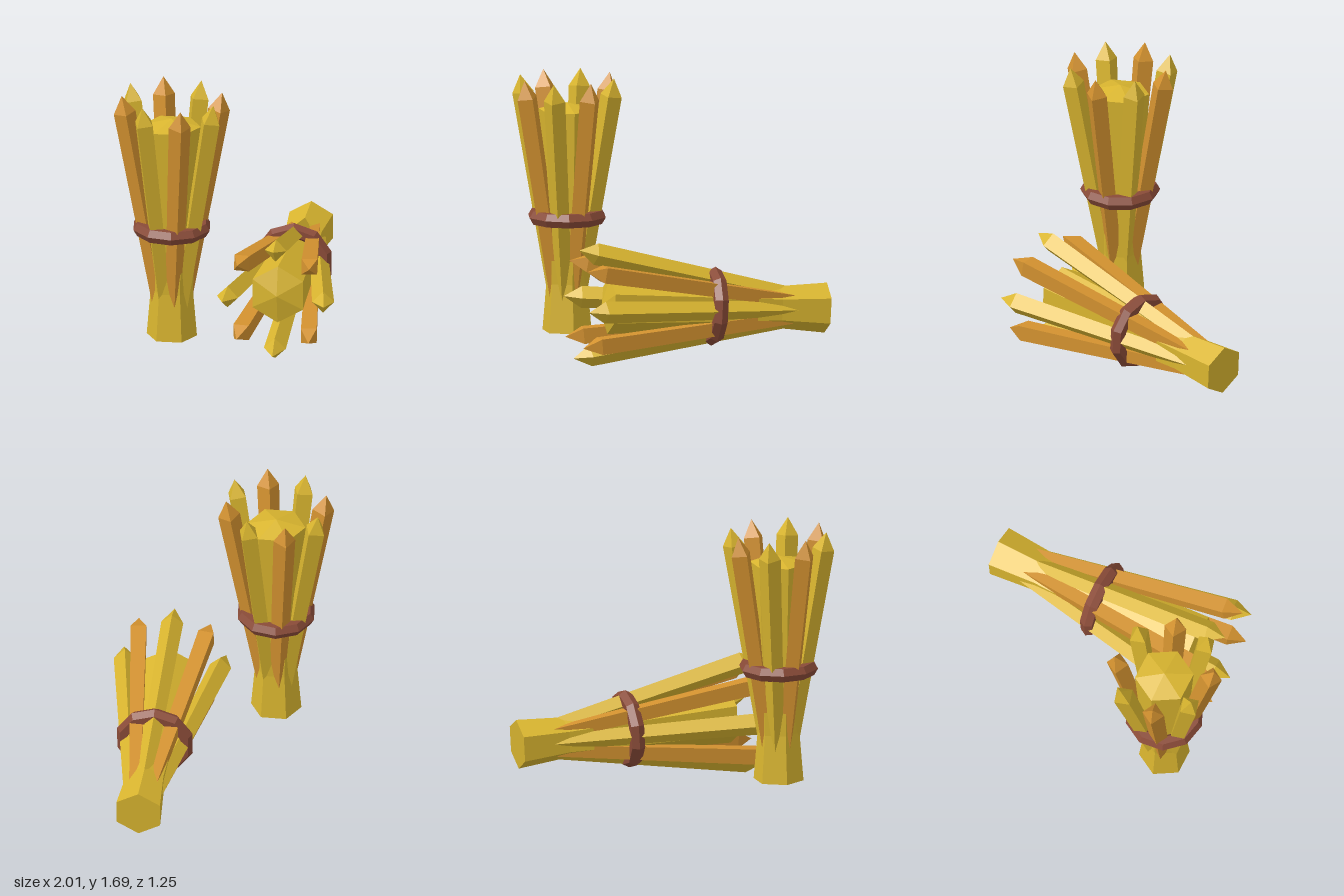
import * as THREE from 'three';

const flat = (name, color) => {
  const m = new THREE.MeshStandardMaterial({ color, flatShading: true });
  m.name = name;
  return m;
};

// Low-poly turned shape with a corner on the +x axis
const turned = (points, sides) => new THREE.LatheGeometry(
  points.map(([r, y]) => new THREE.Vector2(r, y)), sides, Math.PI / 2);

// One bundle standing on its local origin; spreadX and spreadZ are the radii of the ring of stalk tips
function createSheaf(name, mats, spreadX, spreadZ) {
  const sheaf = new THREE.Group();
  sheaf.name = name;

  const add = (part, geometry, material) => {
    const mesh = new THREE.Mesh(geometry, material);
    mesh.name = part;
    sheaf.add(mesh);
    return mesh;
  };

  // Six-sided core: flared foot, waist, wide top with a shallow point
  add('core', turned([[0, 0], [0.155, 0], [0.13, 0.3], [0.18, 1.37], [0, 1.415]], 6), mats.straw);

  // Eight leaning square stalks, alternating in colour
  const up = new THREE.Vector3(0, 1, 0);
  for (let i = 0; i < 8; i++) {
    const a = i * Math.PI / 4;
    const foot = new THREE.Vector3(0.065 * Math.cos(a), 0.18, 0.065 * Math.sin(a));
    const tip = new THREE.Vector3(spreadX * Math.cos(a), 1.575, spreadZ * Math.sin(a));
    const dir = tip.clone().sub(foot);
    const length = dir.length();
    const stalk = add(i % 2 ? 'darkStalk' : 'lightStalk',
      turned([[0, 0], [0.05, 0], [0.068, length - 0.11], [0, length]], 4),
      i % 2 ? mats.ripe : mats.straw);
    stalk.position.copy(foot);
    stalk.quaternion.setFromUnitVectors(up, dir.normalize())
      .multiply(new THREE.Quaternion().setFromAxisAngle(up, -a));
  }

  // Binding ring
  const ring = add('binding', new THREE.TorusGeometry(0.197, 0.048, 6, 10), mats.rope);
  ring.rotation.x = Math.PI / 2;
  ring.position.y = 0.71;
  return sheaf;
}

export function createModel() {
  const mats = {
    straw: flat('straw yellow', 0xd9b52f),
    ripe: flat('ripe orange', 0xd2912f),
    rope: flat('rope brown', 0x8a4b38),
  };
  const model = new THREE.Group();
  model.name = 'sheaves';

  // Upright bundle
  const standing = createSheaf('standingSheaf', mats, 0.297, 0.32);
  standing.position.set(-0.66, 0.12, -0.263);
  model.add(standing);

  // Bundle lying on its side, tips slightly raised
  const lying = createSheaf('lyingSheaf', mats, 0.335, 0.315);
  const pitch = 0.054;
  const axis = new THREE.Vector3(-0.875 * Math.cos(pitch), Math.sin(pitch), 0.484 * Math.cos(pitch)).normalize();
  const side = new THREE.Vector3(0, 1, 0).cross(axis).normalize();
  const top = axis.clone().cross(side);
  lying.quaternion.setFromRotationMatrix(
    new THREE.Matrix4().makeBasis(top, axis, top.clone().cross(axis)));
  lying.position.set(0.935, 0.305, -0.415);
  model.add(lying);

  return model;
}
